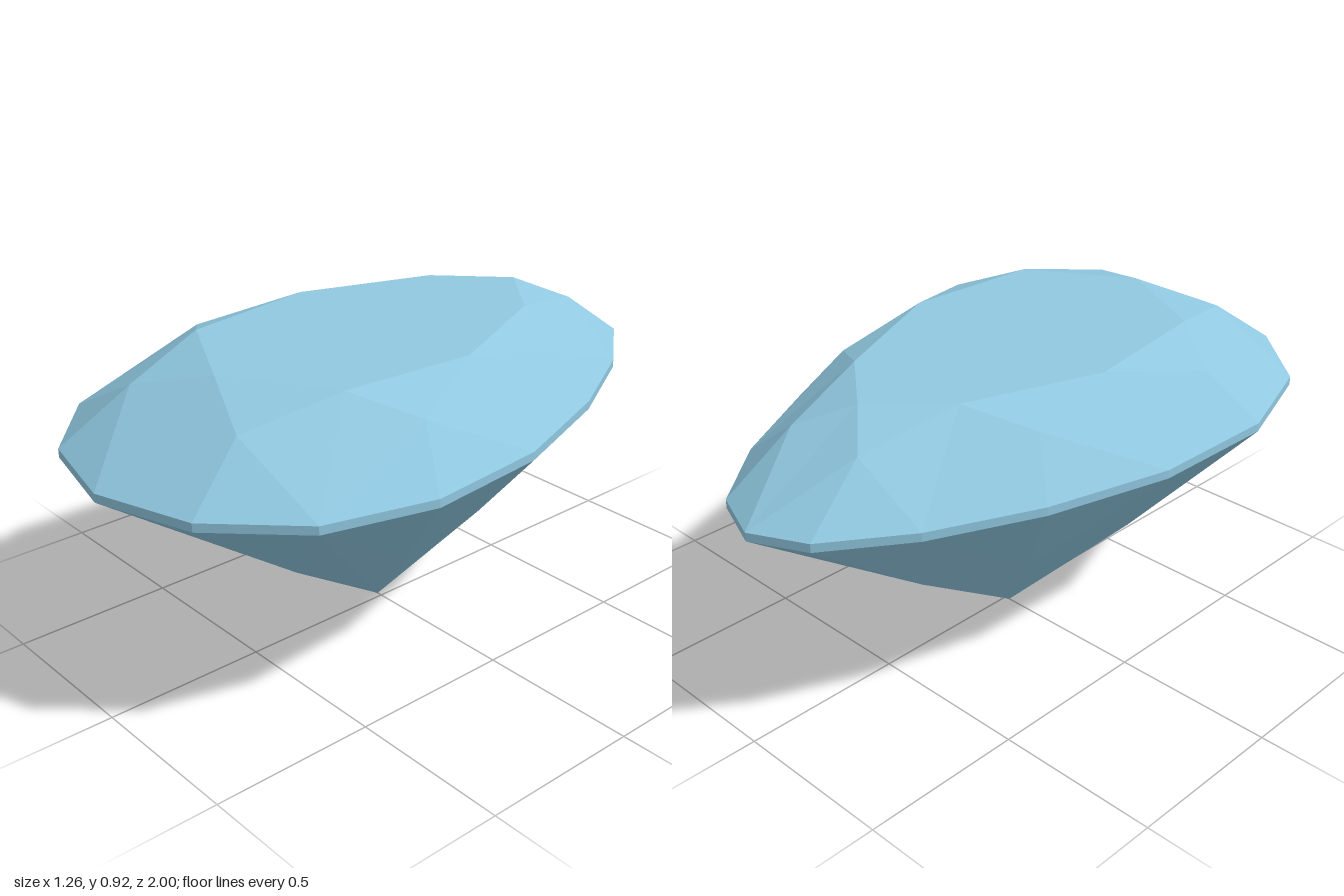
import * as THREE from 'three';

// Pear-shaped girdle outline [x, z], counter-clockwise from above, starting at the narrow back
const OUTLINE = [
  [-0.06, -1], [-0.22, -0.92], [-0.38, -0.69], [-0.52, -0.375],
  [-0.62, 0], [-0.63, 0.4], [-0.515, 0.725], [-0.28, 0.93],
  [0.02, 1], [0.32, 0.905], [0.54, 0.68], [0.63, 0.355],
  [0.595, -0.03], [0.46, -0.41], [0.29, -0.72], [0.11, -0.935],
];
const N = OUTLINE.length;
const CENTRE_X = -0.017;

// A copy of the outline scaled about the gem's axis at a given height
function ring(scale, y) {
  const points = OUTLINE.map(([x, z]) => [CENTRE_X + (x - CENTRE_X) * scale, y, z * scale]);
  return (i) => points[(i + N) % N];
}

// Flat facets: each is a convex polygon, split into a triangle fan
function facetMesh(name, facets, material) {
  const positions = [];
  for (const f of facets) {
    for (let k = 1; k < f.length - 1; k++) positions.push(...f[0], ...f[k], ...f[k + 1]);
  }
  const geometry = new THREE.BufferGeometry();
  geometry.setAttribute('position', new THREE.Float32BufferAttribute(positions, 3));
  geometry.computeVertexNormals();
  const mesh = new THREE.Mesh(geometry, material);
  mesh.name = name;
  return mesh;
}

export function createModel() {
  const gemBlue = new THREE.MeshStandardMaterial({ color: 0x90c8e0, flatShading: true });
  gemBlue.name = 'gem blue';

  const top = ring(0.6, 0.92);
  const mid = ring(0.78, 0.857);
  const upper = ring(1, 0.706);
  const lower = ring(1, 0.68);
  const pav = ring(0.5, 0.32);
  const culet = [CENTRE_X, 0, 0];

  const table = [];
  const crown = [];
  const girdle = [];
  const pavilion = [];

  for (let i = 0; i < N; i += 2) {
    table.push(top(i));
    crown.push(
      [top(i), mid(i - 1), upper(i), mid(i + 1)], // kite
      [top(i), mid(i + 1), top(i + 2)], // star
      [mid(i + 1), upper(i), upper(i + 1)], // upper girdle pair
      [mid(i + 1), upper(i + 1), upper(i + 2)],
    );
    pavilion.push(
      [lower(i), pav(i - 1), culet, pav(i + 1)], // main
      [lower(i + 1), lower(i), pav(i + 1)], // lower girdle pair
      [lower(i + 2), lower(i + 1), pav(i + 1)],
    );
  }
  for (let i = 0; i < N; i++) girdle.push([lower(i), lower(i + 1), upper(i + 1), upper(i)]);

  const gem = new THREE.Group();
  gem.name = 'pearCutGem';
  gem.add(
    facetMesh('table', [table], gemBlue),
    facetMesh('crown', crown, gemBlue),
    facetMesh('girdle', girdle, gemBlue),
    facetMesh('pavilion', pavilion, gemBlue),
  );
  return gem;
}
